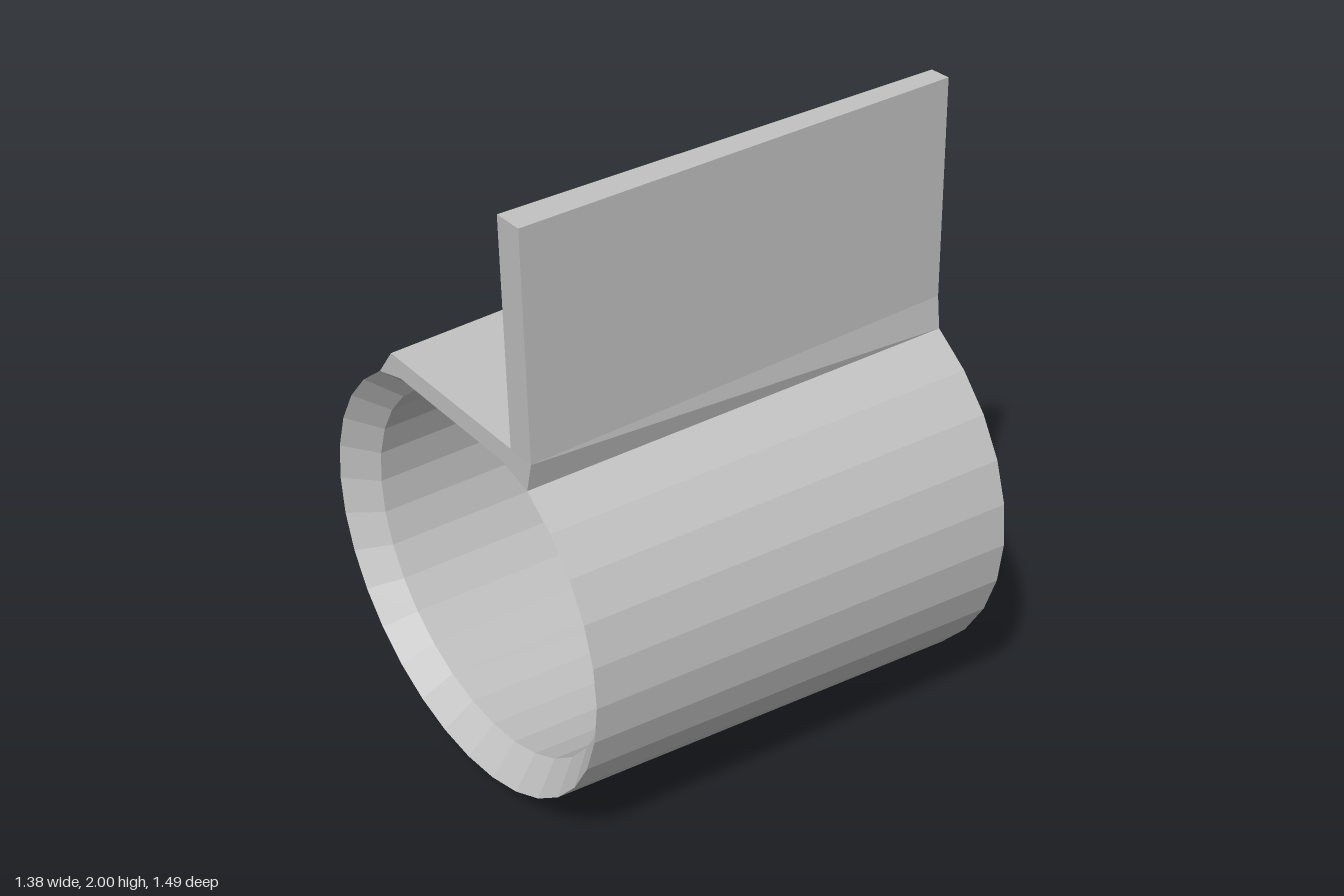
import * as THREE from 'three';

const AXIS_Y = 0.675, RZ = 0.745, RY = 0.675, FLAT = 0.595;
const X_BIG = 0.69, X_SMALL = -0.68, SEGMENTS = 32;

// The whole sleeve tapers evenly about its axis
const taper = (x) => 0.913 + 0.087 * (x - X_SMALL) / (X_BIG - X_SMALL);

// Place a [z, y-above-axis] section point at x, scaled by the taper
const place = (x, z, y, k = 1) =>
  new THREE.Vector3(x, AXIS_Y + y * k * taper(x), z * k * taper(x));

// Skin consecutive closed rings; optionally close the two ends
function loft(rings, capped) {
  const pos = [];
  const tri = (...points) => points.forEach((p) => pos.push(p.x, p.y, p.z));
  for (let r = 0; r < rings.length - 1; r++) {
    const a = rings[r], b = rings[r + 1], n = a.length;
    for (let i = 0; i < n; i++) {
      const j = (i + 1) % n;
      tri(a[i], a[j], b[j]);
      tri(a[i], b[j], b[i]);
    }
  }
  if (capped) {
    const first = rings[0], last = rings[rings.length - 1];
    const faces = THREE.ShapeUtils.triangulateShape(
      first.map((p) => new THREE.Vector2(p.z, p.y)), []);
    for (const [a, b, c] of faces) {
      tri(first[a], first[c], first[b]);
      tri(last[a], last[b], last[c]);
    }
  }
  const geometry = new THREE.BufferGeometry();
  geometry.setAttribute('position', new THREE.Float32BufferAttribute(pos, 3));
  geometry.computeVertexNormals();
  return geometry;
}

// Elliptical ring with a flattened top
function sleeveRing(x, k) {
  return Array.from({ length: SEGMENTS }, (_, i) => {
    const a = (i / SEGMENTS) * Math.PI * 2;
    return place(x, RZ * Math.cos(a), Math.min(RY * Math.sin(a), FLAT), k);
  });
}

export function createModel() {
  const grey = new THREE.MeshStandardMaterial({ color: 0xc0c0c0 });
  grey.name = 'plainGrey';
  grey.flatShading = true;
  const group = new THREE.Group();
  group.name = 'sleeveBracket';
  const add = (name, geometry) => {
    const mesh = new THREE.Mesh(geometry, grey);
    mesh.name = name;
    group.add(mesh);
  };

  // Tapered sleeve, both ends chamfered inward from a sharp outer rim
  const outerBig = sleeveRing(X_BIG, 1);
  add('sleeve', loft([
    outerBig, sleeveRing(X_SMALL, 1),
    sleeveRing(X_SMALL + 0.09, 0.865), sleeveRing(X_BIG - 0.1, 0.865), outerBig,
  ], false));

  // Flat pad on top of the sleeve, front lip running up to the upright
  const pad = [[0.414, 0.561], [0.4, 0.66], [-0.335, 0.66],
    [-0.414, 0.561], [-0.285, FLAT], [0.285, FLAT]];
  const padRing = (x) => pad.map(([z, y], i) => {
    const p = place(x, z, y);
    if (i === 1) p.z = 0.4;
    return p;
  });
  add('topPad', loft([padRing(X_BIG), padRing(X_SMALL)], true));

  // Upright plate, square to the sloping pad
  const upright = (x, xTop, yTop, zBack) => {
    const yBase = AXIS_Y + 0.66 * taper(x);
    return [[x, yBase, zBack], [x, yBase, 0.4], [xTop, yTop, 0.4], [xTop, yTop, zBack]]
      .map((p) => new THREE.Vector3(...p));
  };
  add('uprightPlate', loft([
    upright(X_BIG, 0.67, 2.0, 0.333), upright(X_SMALL, -0.693, 1.947, 0.305),
  ], true));

  return group;
}
